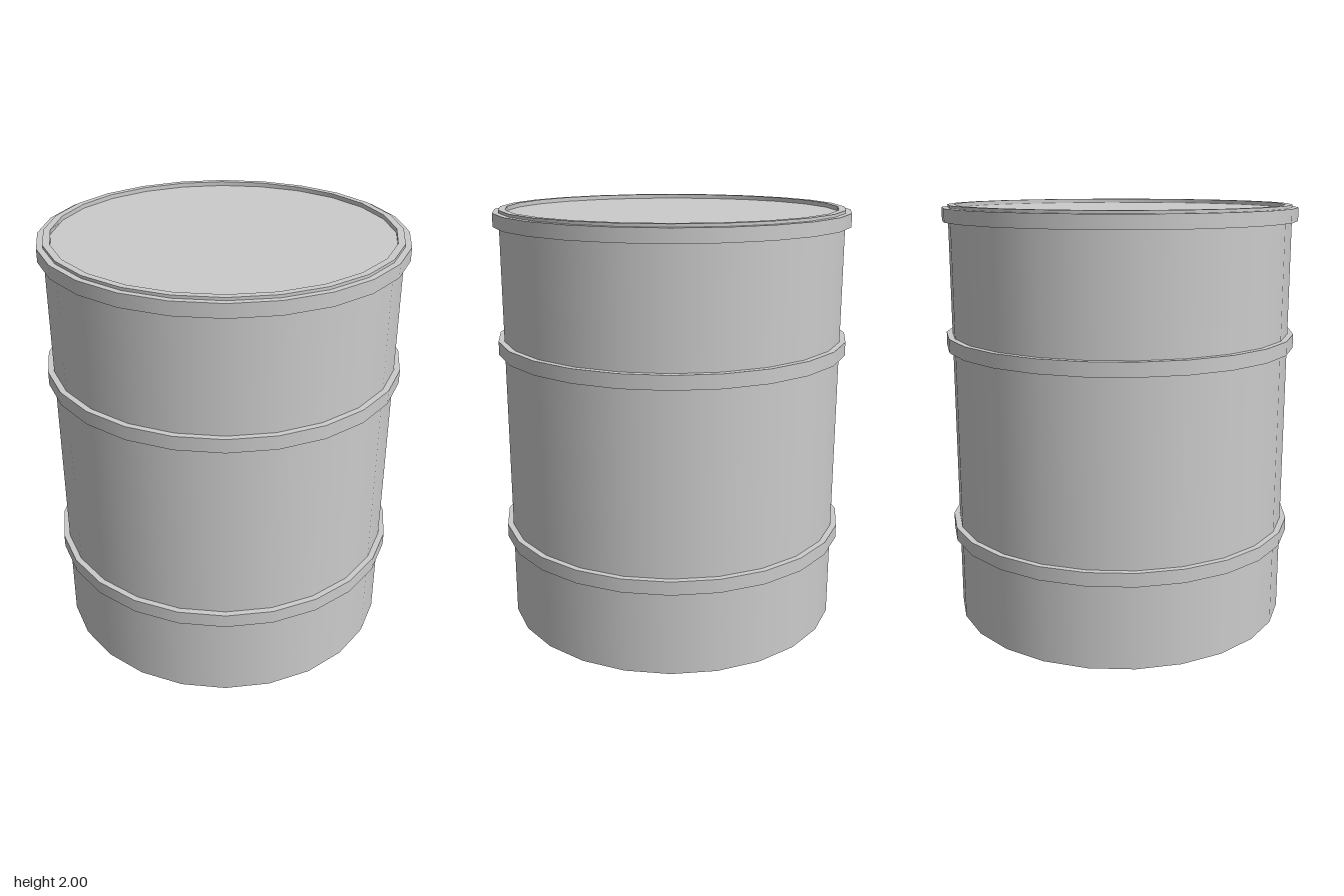
import * as THREE from 'three';
import { mergeGeometries } from 'three/addons/utils/BufferGeometryUtils.js';

const SIDES = 24;
const BODY_R = 0.812, HOOP_R = 0.84, INNER_R = 0.78;

// Revolve a profile with smooth sides and sharp edges at every profile corner.
function turned(name, profile, material) {
  const bands = [];
  for (let i = 0; i < profile.length - 1; i++) {
    const ends = [profile[i], profile[i + 1]].map(([r, y]) => new THREE.Vector2(r, y));
    bands.push(new THREE.LatheGeometry(ends, SIDES));
  }
  const mesh = new THREE.Mesh(mergeGeometries(bands), material);
  mesh.name = name;
  return mesh;
}

export function createModel() {
  const group = new THREE.Group();
  group.name = 'barrel';
  const material = new THREE.MeshStandardMaterial({ color: 0xcccccc });

  // Base, wall and raised rim
  group.add(turned('body', [[0, 0], [BODY_R, 0], [BODY_R, 2], [INNER_R, 2], [INNER_R, 1.98]], material));

  // Slightly sunken lid
  group.add(turned('lid', [[INNER_R, 1.98], [0, 1.98]], material));

  // Raised hoops: lower, middle and top
  const hoops = [['lowerHoop', 0.405, 0.47], ['middleHoop', 1.33, 1.395], ['topHoop', 1.925, 1.987]];
  for (const [name, y0, y1] of hoops) {
    group.add(turned(name, [[BODY_R, y0], [HOOP_R, y0], [HOOP_R, y1], [BODY_R, y1]], material));
  }
  return group;
}
